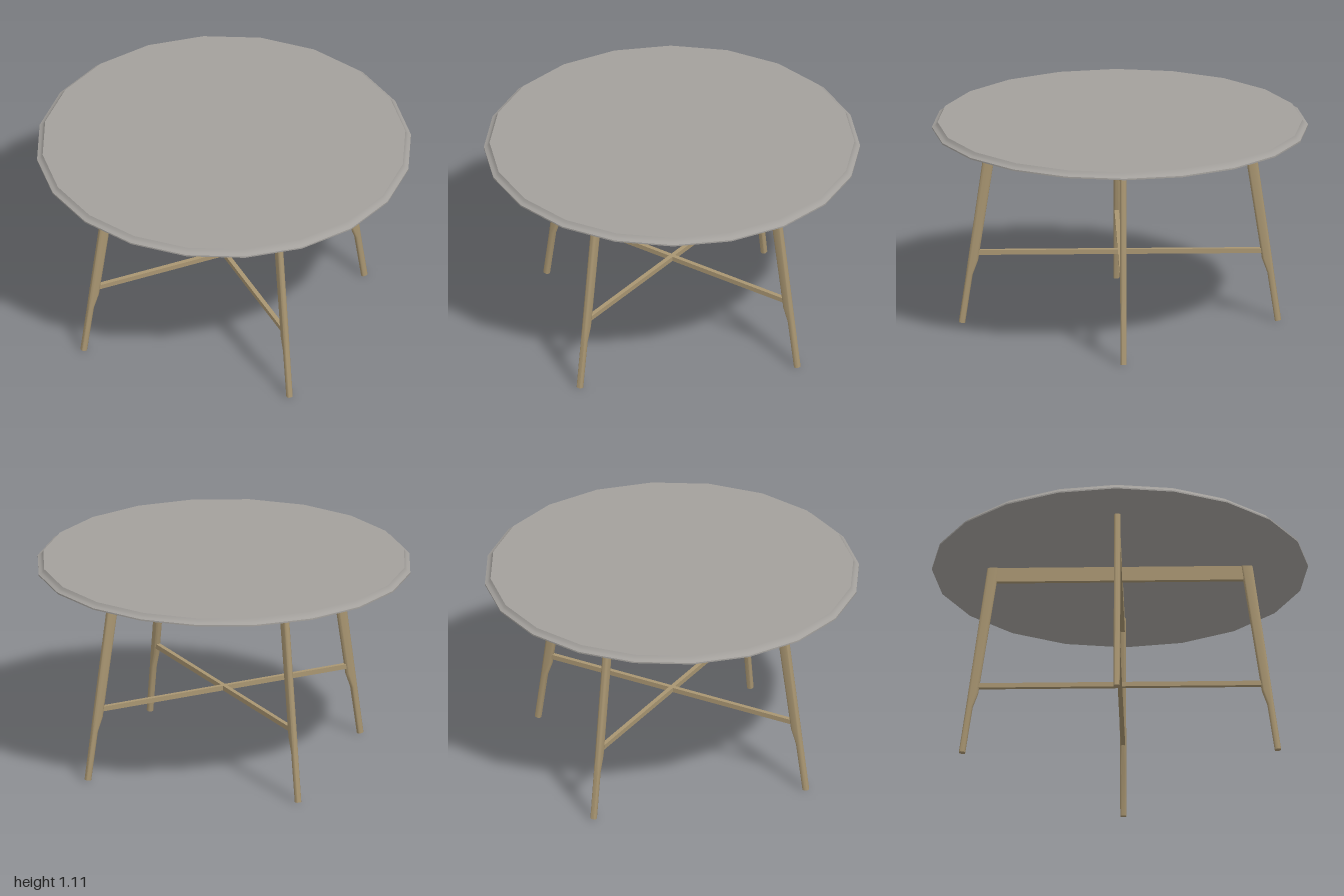
import * as THREE from 'three';
import { toCreasedNormals } from 'three/addons/utils/BufferGeometryUtils.js';

const wood = new THREE.MeshStandardMaterial({ name: 'oak wood', color: 0xa89571 });
const stone = new THREE.MeshStandardMaterial({ name: 'warm grey top', color: 0xa3a09c });

// Rounded-rectangle ring in the (depth, width) plane
function ring(halfDepth, halfWidth, radius) {
  const pts = [];
  for (let corner = 0; corner < 4; corner++) {
    const sx = corner === 0 || corner === 3 ? 1 : -1;
    const sz = corner < 2 ? 1 : -1;
    for (let k = 0; k < 4; k++) {
      const a = (corner + k / 3) * Math.PI / 2;
      pts.push([
        sx * (halfDepth - radius) + radius * Math.cos(a),
        sz * (halfWidth - radius) + radius * Math.sin(a),
      ]);
    }
  }
  return pts;
}

// Splayed leg lofted through cross-sections, leaning out along +x
function legGeometry() {
  // [height, inner edge, outer edge, half width, slope of the cut]
  const sections = [
    [0.005, 0.802, 0.836, 0.016, 0.16],
    [0.27, 0.762, 0.798, 0.0165, 0],
    [0.35, 0.733, 0.787, 0.017, 0],
    [1.08, 0.622, 0.684, 0.017, 0],
  ];
  const pos = [], index = [];
  let n = 0;
  for (const [y, inner, outer, half, slope] of sections) {
    const pts = ring((outer - inner) / 2, half, 0.013);
    n = pts.length;
    for (const [d, w] of pts) pos.push((inner + outer) / 2 + d, y + d * slope, w);
  }
  for (let i = 0; i < sections.length - 1; i++) {
    for (let j = 0; j < n; j++) {
      const a = i * n + j, b = i * n + (j + 1) % n;
      index.push(a, a + n, b, b, a + n, b + n);
    }
  }
  // End caps
  const top = (sections.length - 1) * n;
  for (let j = 1; j < n - 1; j++) {
    index.push(0, j, j + 1, top, top + j + 1, top + j);
  }
  const geo = new THREE.BufferGeometry();
  geo.setAttribute('position', new THREE.Float32BufferAttribute(pos, 3));
  geo.setIndex(index);
  return toCreasedNormals(geo, 0.6);
}

export function createModel() {
  const table = new THREE.Group();
  table.name = 'roundTable';

  const add = (parent, name, geo, material) => {
    const mesh = new THREE.Mesh(geo, material);
    mesh.name = name;
    parent.add(mesh);
    return mesh;
  };

  // Twenty-sided top with a moulded rim
  const profile = [
    [0, 1.08], [1, 1.08], [1, 1.088], [0.985, 1.094], [0.976, 1.103], [0.97, 1.115], [0, 1.115],
  ].map(([r, y]) => new THREE.Vector2(r, y));
  const topGeo = toCreasedNormals(new THREE.LatheGeometry(profile, 20), 0.6);
  add(table, 'tableTop', topGeo, stone);

  // Two crossing frames; the front-to-back one is slightly wider
  const legGeo = legGeometry();
  [['side', 0, 0], ['frontBack', Math.PI / 2, 0.021]].forEach(([name, turn, extra]) => {
    const frame = new THREE.Group();
    frame.name = name + 'Frame';
    frame.rotation.y = turn;
    table.add(frame);

    for (const s of [1, -1]) {
      const leg = add(frame, name + 'Leg', legGeo, wood);
      leg.rotation.y = s > 0 ? 0 : Math.PI;
      leg.position.x = s * extra;
    }

    const apron = new THREE.BoxGeometry(1.27 + extra * 2, 0.08, 0.024);
    add(frame, name + 'Apron', apron, wood).position.y = 1.04;

    const stretcher = new THREE.BoxGeometry(1.47 + extra * 2, 0.026, 0.024);
    add(frame, name + 'Stretcher', stretcher, wood).position.y = 0.393;
  });

  return table;
}
